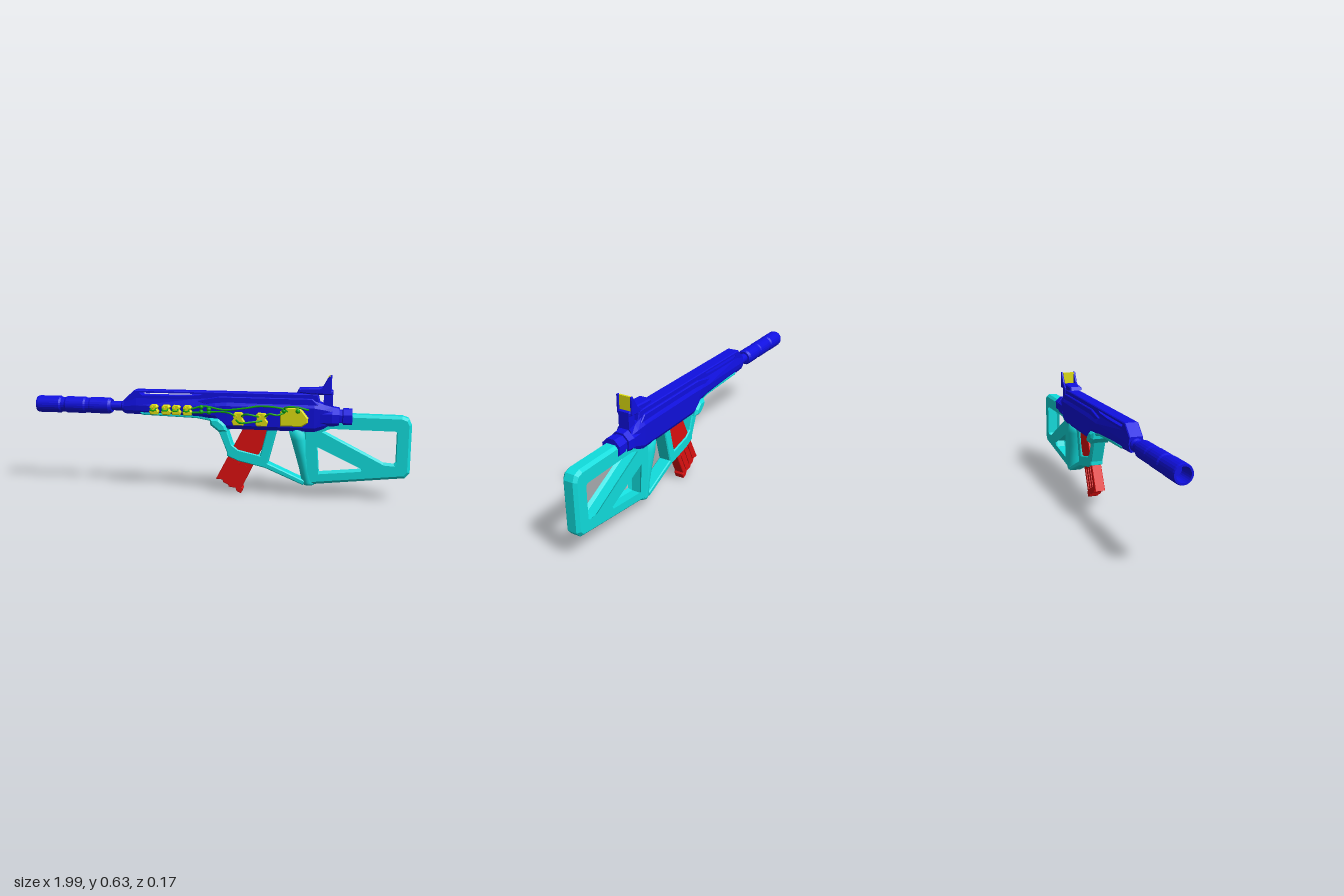
import * as THREE from 'three';
import { mergeVertices } from 'three/addons/utils/BufferGeometryUtils.js';

const Z0 = -0.023; // middle plane of the main assembly
const paint = (color, flat = true) =>
  new THREE.MeshStandardMaterial({ color, flatShading: flat, side: THREE.DoubleSide });
const BLUE = paint(0x1010e0), CYAN = paint(0x10dddd), RED = paint(0xdd1010), YELLOW = paint(0xdddd10);
const CYAN_SMOOTH = paint(0x10dddd, false), GREEN = paint(0x10aa10, false);

export function createModel() {
  const model = new THREE.Group();

  const add = (name, geo, mat, x = 0, y = 0, z = Z0) => {
    const m = new THREE.Mesh(geo, mat);
    m.name = name;
    m.position.set(x, y, z);
    model.add(m);
    return m;
  };
  const box = (name, mat, x0, x1, y0, y1, half, z = Z0) =>
    add(name, new THREE.BoxGeometry(x1 - x0, y1 - y0, half * 2), mat, (x0 + x1) / 2, (y0 + y1) / 2, z);

  // side-profile plate with chamfered edges, centred on z
  const plate = (name, mat, pts, half, bevel = 0.006, holes = [], z = Z0) => {
    const v = (a) => a.map(([x, y]) => new THREE.Vector2(x, y));
    const shape = new THREE.Shape(v(pts));
    holes.forEach((h) => shape.holes.push(new THREE.Path(v(h))));
    const depth = 2 * (half - bevel);
    const geo = new THREE.ExtrudeGeometry(shape, {
      depth, bevelEnabled: true, bevelThickness: bevel, bevelSize: bevel, bevelOffset: -bevel, bevelSegments: 1,
    });
    geo.translate(0, 0, -depth / 2);
    return add(name, geo, mat, 0, 0, z);
  };

  // skin over equal-length rings, closed at both ends
  const loft = (rings) => {
    const pos = [];
    const n = rings[0].length;
    const tri = (...p) => p.forEach((q) => pos.push(...q));
    for (let i = 0; i < rings.length - 1; i++)
      for (let j = 0; j < n; j++) {
        const k = (j + 1) % n, a = rings[i], b = rings[i + 1];
        tri(a[j], a[k], b[k]);
        tri(a[j], b[k], b[j]);
      }
    const last = rings[rings.length - 1];
    for (let j = 1; j < n - 1; j++) {
      tri(rings[0][0], rings[0][j + 1], rings[0][j]);
      tri(last[0], last[j], last[j + 1]);
    }
    let geo = new THREE.BufferGeometry();
    geo.setAttribute('position', new THREE.Float32BufferAttribute(pos, 3));
    geo = mergeVertices(geo);
    geo.computeVertexNormals();
    return geo;
  };

  // lathe turned to lie along x; profile is [x, radius]
  const turned = (name, mat, profile, y, sides, spin = 0) => {
    const geo = new THREE.LatheGeometry(profile.map(([x, r]) => new THREE.Vector2(r, x)), sides, spin);
    geo.rotateZ(-Math.PI / 2);
    return add(name, geo, mat, 0, y);
  };

  // barrel and muzzle sleeve with hollow end
  turned('muzzle', BLUE, [
    [-0.92, 0], [-0.92, 0.03], [-1, 0.034], [-1, 0.043], [-0.99, 0.046], [-0.87, 0.046], [-0.86, 0.04],
    [-0.84, 0.04], [-0.83, 0.045], [-0.73, 0.045], [-0.72, 0.041], [-0.7, 0.041], [-0.69, 0.044],
    [-0.59, 0.044], [-0.575, 0.036], [-0.575, 0.025], [-0.52, 0.025], [-0.51, 0.032], [-0.48, 0.032],
  ], 0.445, 24);

  // receiver: chamfered section [x, bottom, shoulder, top, half width]
  const section = ([x, b, s, t, w]) => {
    const half = [[b, w * 0.7], [b + 0.02, w * 0.92], [s, w], [t, 0.033]];
    return [...half.map(([y, z]) => [x, y, z]), ...half.reverse().map(([y, z]) => [x, y, -z])];
  };
  add('receiver', loft([
    [-0.5, 0.41, 0.45, 0.482, 0.037], [-0.43, 0.408, 0.455, 0.5, 0.041], [-0.08, 0.402, 0.46, 0.502, 0.05],
    [0.0, 0.395, 0.465, 0.51, 0.054], [0.06, 0.347, 0.468, 0.512, 0.055], [0.51, 0.345, 0.468, 0.505, 0.055],
    [0.56, 0.36, 0.46, 0.485, 0.05], [0.6, 0.375, 0.45, 0.475, 0.042],
  ].map(section)), BLUE);

  // top rail with long open slot
  plate('topRail', BLUE,
    [[-0.5, 0.47], [-0.5, 0.483], [-0.44, 0.537], [0.525, 0.537], [0.54, 0.48], [0.54, 0.47]], 0.034, 0.004,
    [[[-0.42, 0.526], [-0.06, 0.526], [-0.09, 0.512], [-0.2, 0.506], [-0.4, 0.506]]]);
  // side ridges
  for (const s of [-1, 1])
    plate('sideRidge', BLUE, [[-0.1, 0.49], [0.02, 0.515], [0.5, 0.515], [0.53, 0.485], [0.5, 0.47], [-0.04, 0.47]],
      0.007, 0.004, [], Z0 + s * 0.039);

  // rear collars
  turned('rearCollar', BLUE, [[0.54, 0], [0.54, 0.055], [0.6, 0.06], [0.635, 0.054], [0.635, 0.044],
    [0.65, 0.044], [0.655, 0.051], [0.7, 0.051], [0.7, 0]], 0.417, 8, Math.PI / 8);

  // rear sight
  box('sightPost', BLUE, 0.555, 0.6, 0.46, 0.55, 0.028);
  plate('sightBase', BLUE, [[0.42, 0.545], [0.43, 0.565], [0.54, 0.57], [0.6, 0.555], [0.6, 0.535], [0.5, 0.535]], 0.034);
  for (const s of [-1, 1]) {
    const hood = plate('sightHood', BLUE,
      [[0.51, 0.545], [0.55, 0.575], [0.58, 0.63], [0.592, 0.63], [0.592, 0.54], [0.53, 0.54]], 0.006, 0.003, [], Z0 + s * 0.037);
    hood.rotation.x = 0;
  }
  box('sightLens', YELLOW, 0.575, 0.586, 0.546, 0.627, 0.032);

  // stock frame with two openings
  plate('stock', CYAN, [
    [0.5, 0.42], [0.6, 0.44], [0.945, 0.437], [0.978, 0.425], [0.992, 0.395], [0.992, 0.15], [0.968, 0.122],
    [0.475, 0.065], [0.46, 0.09], [0.455, 0.35],
  ], 0.037, 0.014, [
    [[0.53, 0.345], [0.59, 0.378], [0.92, 0.375], [0.938, 0.358], [0.938, 0.185], [0.92, 0.168], [0.86, 0.172]],
    [[0.515, 0.285], [0.775, 0.168], [0.76, 0.135], [0.525, 0.11]],
  ]);

  // hand grip: ovals [y, centre x, x radius, z radius]
  add('grip', loft([
    [0.062, 0.488, 0.028, 0.034], [0.075, 0.488, 0.036, 0.04], [0.14, 0.476, 0.038, 0.038], [0.22, 0.455, 0.04, 0.041],
    [0.3, 0.437, 0.046, 0.048], [0.355, 0.425, 0.05, 0.044],
  ].map(([y, cx, rx, rz]) => Array.from({ length: 16 }, (_, i) => {
    const a = (i / 16) * Math.PI * 2;
    return [cx + rx * Math.cos(a), y, rz * Math.sin(a)];
  }))), CYAN_SMOOTH);

  // handguard underside sweeping down into the magazine frame
  plate('underGuard', CYAN, [
    [-0.41, 0.42], [-0.4, 0.406], [-0.1, 0.397], [-0.03, 0.385], [-0.005, 0.36], [0.02, 0.33],
    [0.075, 0.34], [0.05, 0.4], [0.0, 0.42],
  ], 0.038, 0.004);
  plate('guardFlare', CYAN, [[-0.03, 0.4], [-0.025, 0.365], [0.02, 0.33], [0.065, 0.335], [0.055, 0.37], [0.02, 0.4]], 0.06, 0.012);
  plate('magazineFrame', CYAN, [
    [0.0, 0.37], [0.06, 0.22], [0.06, 0.2], [0.12, 0.175], [0.26, 0.145], [0.46, 0.062], [0.47, 0.085], [0.275, 0.17], [0.32, 0.35],
    [0.27, 0.35], [0.235, 0.21], [0.12, 0.235], [0.085, 0.262], [0.055, 0.35],
  ], 0.034, 0.005);

  // magazine with stepped base and side ribs
  plate('magazine', RED, [
    [0.0, 0.072], [0.035, 0.07], [0.04, 0.055], [0.065, 0.044], [0.07, 0.032], [0.105, 0.028], [0.112, 0.01],
    [0.135, 0.0], [0.145, 0.025], [0.14, 0.035], [0.21, 0.18], [0.285, 0.33], [0.27, 0.36], [0.15, 0.36], [0.012, 0.095],
  ], 0.027, 0.003);
  for (const s of [-1, 1])
    for (let i = 0; i < 3; i++) {
      const rib = add('magazineRib', new THREE.BoxGeometry(0.012, 0.11, 0.006), RED,
        0.07 + i * 0.034, 0.133 - i * 0.016, Z0 + s * 0.028);
      rib.rotation.z = -0.44;
    }

  // side fittings: a block with two round caps
  const fitting = (x, y, z, k = 1) => {
    plate('fittingBlock', YELLOW, [[-0.02, -0.026], [0.02, -0.026], [0.026, -0.01], [0.016, 0.004],
      [0.024, 0.016], [0.014, 0.026], [-0.014, 0.026], [-0.024, 0.016], [-0.016, 0.004], [-0.026, -0.01]]
      .map(([a, b]) => [x + a * k, y + b * k]), 0.013, 0.004, [], z);
    for (const d of [-0.011, 0.011]) {
      const cap = add('fittingCap', new THREE.CylinderGeometry(0.008 * k, 0.009 * k, 0.012, 10), YELLOW, x + d * k, y + 0.012 * k, z + 0.016);
      cap.rotation.x = Math.PI / 2;
    }
  };
  const fittings = [-0.325, -0.26, -0.205, -0.145];
  fittings.forEach((x) => fitting(x, 0.44, 0.032));
  fitting(0.125, 0.405, 0.04, 1.3);
  fitting(0.245, 0.405, 0.04, 1.3);
  plate('largeFitting', YELLOW, [[0.34, 0.375], [0.45, 0.375], [0.48, 0.395], [0.482, 0.42], [0.455, 0.455],
    [0.44, 0.472], [0.36, 0.472], [0.34, 0.45]], 0.014, 0.006, [], 0.041);

  // hoses
  const hose = (pts, r = 0.005) => add('hose', new THREE.TubeGeometry(
    new THREE.CatmullRomCurve3(pts.map((p) => new THREE.Vector3(...p))), 28, r, 7), GREEN, 0, 0, 0);
  hose([[-0.12, 0.45, 0.045], [-0.06, 0.465, 0.04], [0.05, 0.45, 0.045], [0.16, 0.462, 0.05], [0.24, 0.475, 0.05], [0.36, 0.465, 0.06], [0.38, 0.45, 0.05]]);
  hose([[-0.12, 0.43, 0.045], [-0.04, 0.435, 0.045], [0.04, 0.44, 0.05], [0.09, 0.435, 0.068], [0.11, 0.42, 0.055]]);
  hose([[0.14, 0.42, 0.055], [0.17, 0.435, 0.078], [0.21, 0.43, 0.078], [0.235, 0.42, 0.055]]);
  hose([[0.26, 0.42, 0.055], [0.29, 0.44, 0.075], [0.33, 0.435, 0.072], [0.37, 0.45, 0.05]]);
  hose([[0.36, 0.455, 0.05], [0.37, 0.475, 0.072], [0.43, 0.478, 0.075], [0.475, 0.465, 0.06], [0.48, 0.46, 0.03]]);
  hose([[0.115, 0.4, 0.05], [0.14, 0.39, 0.078], [0.2, 0.395, 0.072], [0.25, 0.4, 0.05]]);
  fittings.forEach((x) => hose([[x - 0.012, 0.45, 0.045], [x - 0.012, 0.44, 0.066], [x + 0.012, 0.44, 0.066], [x + 0.012, 0.45, 0.045]], 0.004));
  // hose couplings
  for (const [x, y] of [[-0.07, 0.46], [-0.03, 0.45], [-0.07, 0.435], [-0.03, 0.434], [0.36, 0.455], [0.43, 0.455]])
    add('hoseCoupling', new THREE.SphereGeometry(0.012, 10, 8), GREEN, x, y, x > 0.3 ? 0.055 : 0.04);

  return model;
}
